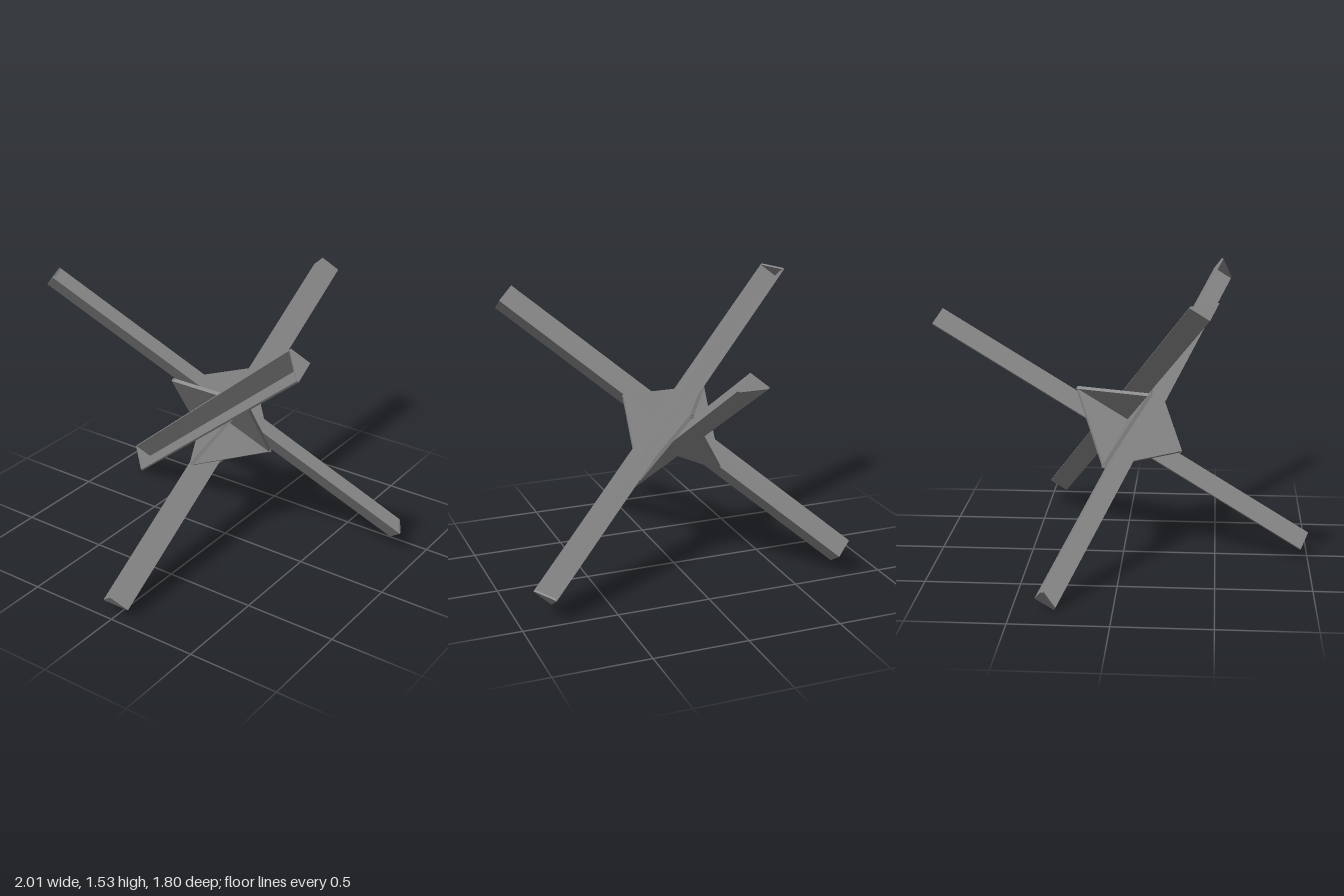
import * as THREE from 'three';

const LENGTH = 2.304; // beam length
const LEG = 0.113;    // width of each angle-iron leg
const WALL = 0.01;    // thickness of the legs and end caps
const REACH = 0.33;   // gusset corner distance from the crossing
const THICK = 0.02;   // gusset plate thickness

const material = new THREE.MeshStandardMaterial({ color: 0x878787, flatShading: true });

// Flat outline extruded along z, centred on z = 0
function slab(points, depth) {
  const shape = new THREE.Shape(points.map(([x, y]) => new THREE.Vector2(x, y)));
  return new THREE.ExtrudeGeometry(shape, { depth, bevelEnabled: false })
    .translate(0, 0, -depth / 2);
}

function addMesh(parent, name, geometry, z = 0) {
  const mesh = new THREE.Mesh(geometry, material);
  mesh.name = name;
  mesh.position.z = z;
  parent.add(mesh);
}

export function createModel() {
  const model = new THREE.Group();
  model.name = 'beamObstacle';

  // L-shaped beam, its triangular end cap, and a diamond plate
  // with the quadrant occupied by the beam cut away
  const e = THICK / 2, i = e + WALL, w = e + LEG, r = REACH;
  const beam = slab([[e, e], [w, e], [w, i], [i, i], [i, w], [e, w]], LENGTH);
  const cap = slab([[e, e], [w, e], [w, i], [i, w], [e, w]], WALL);
  const gusset = slab([[0, 0], [0, r], [-r, 0], [0, -r], [r, 0]], THICK);

  // Three mutually perpendicular beam directions
  const tilt = Math.atan2(0.525, 0.85), s = Math.SQRT1_2;
  const a = new THREE.Vector3(Math.cos(tilt), Math.sin(tilt), 0);
  const b = new THREE.Vector3(Math.sin(tilt) * s, -Math.cos(tilt) * s, s);
  const c = new THREE.Vector3(b.x, b.y, -s);
  const neg = (v) => v.clone().negate();

  // Each beam crosses the plane of its own gusset; its legs follow p and q
  const parts = [
    ['sideBeam', b, c],
    ['frontLowBeam', a, neg(c)],
    ['frontHighBeam', neg(a), neg(b)],
  ];
  for (const [name, p, q] of parts) {
    const part = new THREE.Group();
    part.name = name + 'Assembly';
    const basis = new THREE.Matrix4().makeBasis(p, q, p.clone().cross(q));
    part.quaternion.setFromRotationMatrix(basis);
    addMesh(part, name, beam);
    for (const side of [-1, 1]) {
      addMesh(part, name + 'EndCap', cap, side * (LENGTH - WALL) / 2);
    }
    addMesh(part, name + 'GussetPlate', gusset);
    model.add(part);
  }

  // Stand on the ground, centred
  const box = new THREE.Box3().setFromObject(model, true);
  const mid = box.getCenter(new THREE.Vector3());
  for (const part of model.children) part.position.set(-mid.x, -box.min.y, -mid.z);
  return model;
}
